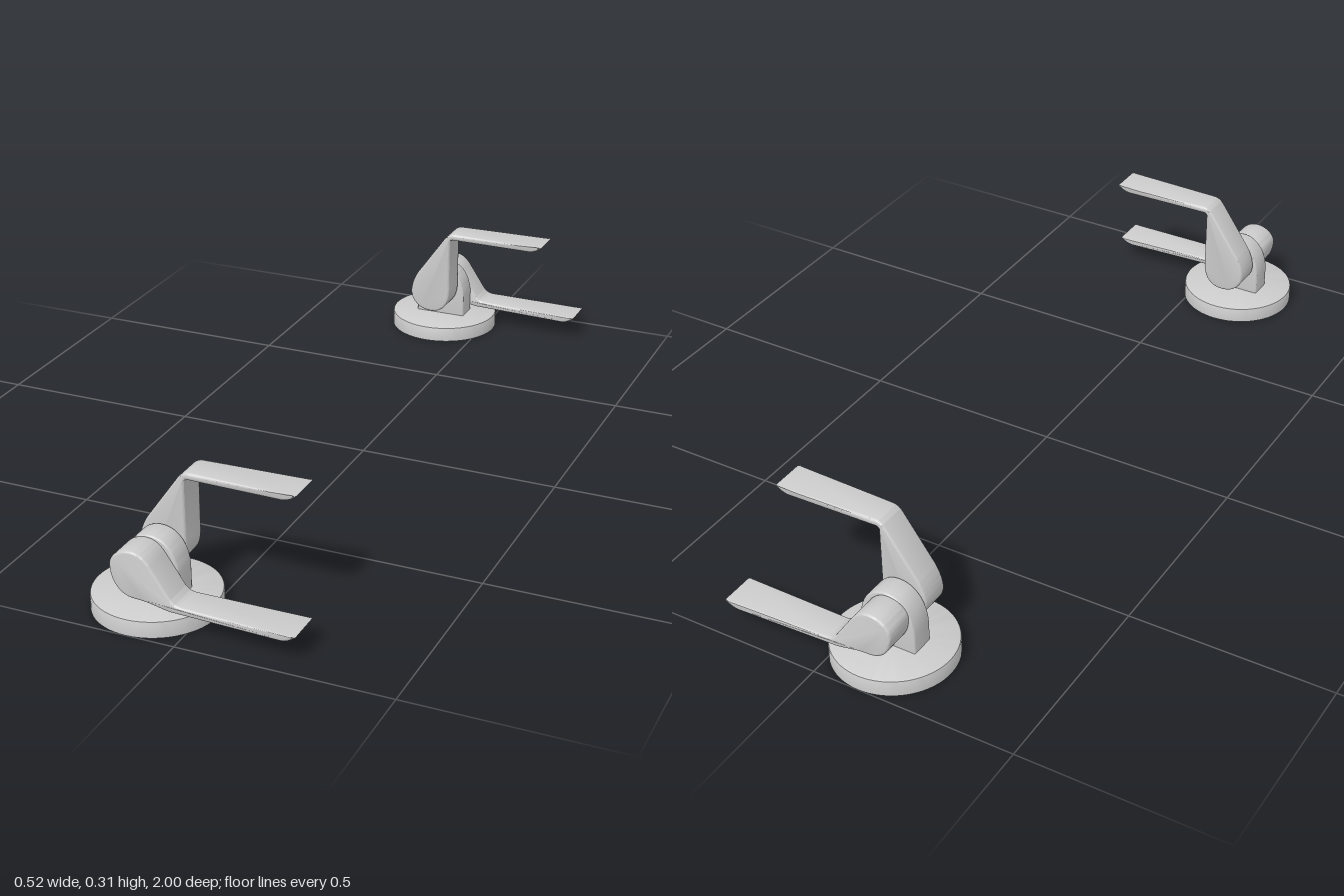
import * as THREE from 'three';
import { toCreasedNormals } from 'three/addons/utils/BufferGeometryUtils.js';

const material = new THREE.MeshStandardMaterial({ color: 0xcccccc });
const shellMaterial = new THREE.MeshStandardMaterial({ color: 0xcccccc, side: THREE.DoubleSide });

// Side profile extruded along z, centred, with softened edges; blades flare towards the tip
function extrudeProfile(shape, width, bevel, flare = 0, tip = 1) {
  const geo = new THREE.ExtrudeGeometry(shape, {
    depth: width - 2 * bevel, curveSegments: 14,
    bevelEnabled: true, bevelThickness: bevel, bevelSize: bevel, bevelOffset: -bevel, bevelSegments: 3,
  });
  geo.translate(0, 0, bevel - width / 2);
  const p = geo.attributes.position;
  for (let i = 0; i < p.count; i++) {
    const t = THREE.MathUtils.clamp((p.getX(i) + 0.04) / (tip + 0.04), 0, 1);
    p.setZ(i, p.getZ(i) * (1 + flare * t));
  }
  return toCreasedNormals(geo, 0.6);
}

// Post with a domed top
function postShape() {
  const s = new THREE.Shape();
  s.moveTo(-0.185, 0.032);
  s.lineTo(-0.047, 0.032);
  s.lineTo(-0.047, 0.1);
  s.bezierCurveTo(-0.052, 0.15, -0.078, 0.179, -0.115, 0.179);
  s.bezierCurveTo(-0.155, 0.179, -0.185, 0.14, -0.185, 0.085);
  s.closePath();
  return s;
}

// Low lever: round hub sweeping down into a flat blade
function lowerLeverShape() {
  const s = new THREE.Shape();
  s.moveTo(-0.03, 0.05);
  s.lineTo(0.225, 0.046);
  s.quadraticCurveTo(0.245, 0.047, 0.261, 0.062);
  s.lineTo(-0.005, 0.067);
  s.quadraticCurveTo(-0.022, 0.067, -0.034, 0.085);
  s.lineTo(-0.074, 0.145);
  s.bezierCurveTo(-0.088, 0.166, -0.102, 0.175, -0.122, 0.175);
  s.bezierCurveTo(-0.148, 0.175, -0.173, 0.158, -0.173, 0.132);
  s.bezierCurveTo(-0.171, 0.092, -0.15, 0.064, -0.115, 0.063);
  s.bezierCurveTo(-0.08, 0.063, -0.055, 0.052, -0.03, 0.05);
  return s;
}

// High lever: teardrop hub rising to a flat blade
function upperLeverShape() {
  const s = new THREE.Shape();
  s.moveTo(-0.061, 0.286);
  s.lineTo(-0.062, 0.14);
  s.bezierCurveTo(-0.062, 0.1, -0.08, 0.074, -0.116, 0.074);
  s.bezierCurveTo(-0.152, 0.074, -0.176, 0.1, -0.174, 0.13);
  s.quadraticCurveTo(-0.172, 0.155, -0.156, 0.182);
  s.lineTo(-0.078, 0.292);
  s.quadraticCurveTo(-0.066, 0.309, -0.05, 0.309);
  s.lineTo(0.203, 0.309);
  s.quadraticCurveTo(0.188, 0.295, 0.17, 0.293);
  s.lineTo(-0.052, 0.292);
  s.quadraticCurveTo(-0.06, 0.292, -0.061, 0.286);
  return s;
}

// Hollow round base, open underneath
function baseGeometry() {
  const profile = [[0.145, 0], [0.145, 0.034], [0.1435, 0.038], [0.139, 0.04], [0, 0.04]]
    .map(([x, y]) => new THREE.Vector2(x, y));
  return toCreasedNormals(new THREE.LatheGeometry(profile, 64), 0.6);
}

export function createModel() {
  const model = new THREE.Group();
  const base = baseGeometry();
  const parts = [
    ['post', extrudeProfile(postShape(), 0.06, 0.004), 0.852],
    ['lowerLever', extrudeProfile(lowerLeverShape(), 0.076, 0.005, 0.2, 0.261), 0.917],
    ['upperLever', extrudeProfile(upperLeverShape(), 0.074, 0.005, 0.2, 0.203), 0.781],
  ];

  // The two units mirror each other across z = 0
  for (const [name, side] of [['frontUnit', 1], ['backUnit', -1]]) {
    const unit = new THREE.Group();
    unit.name = name;
    const disc = new THREE.Mesh(base, shellMaterial);
    disc.name = 'base';
    disc.position.set(-0.115, 0, side * 0.855);
    unit.add(disc);
    for (const [partName, geometry, z] of parts) {
      const mesh = new THREE.Mesh(geometry, material);
      mesh.name = partName;
      mesh.position.z = side * z;
      unit.add(mesh);
    }
    model.add(unit);
  }
  return model;
}
